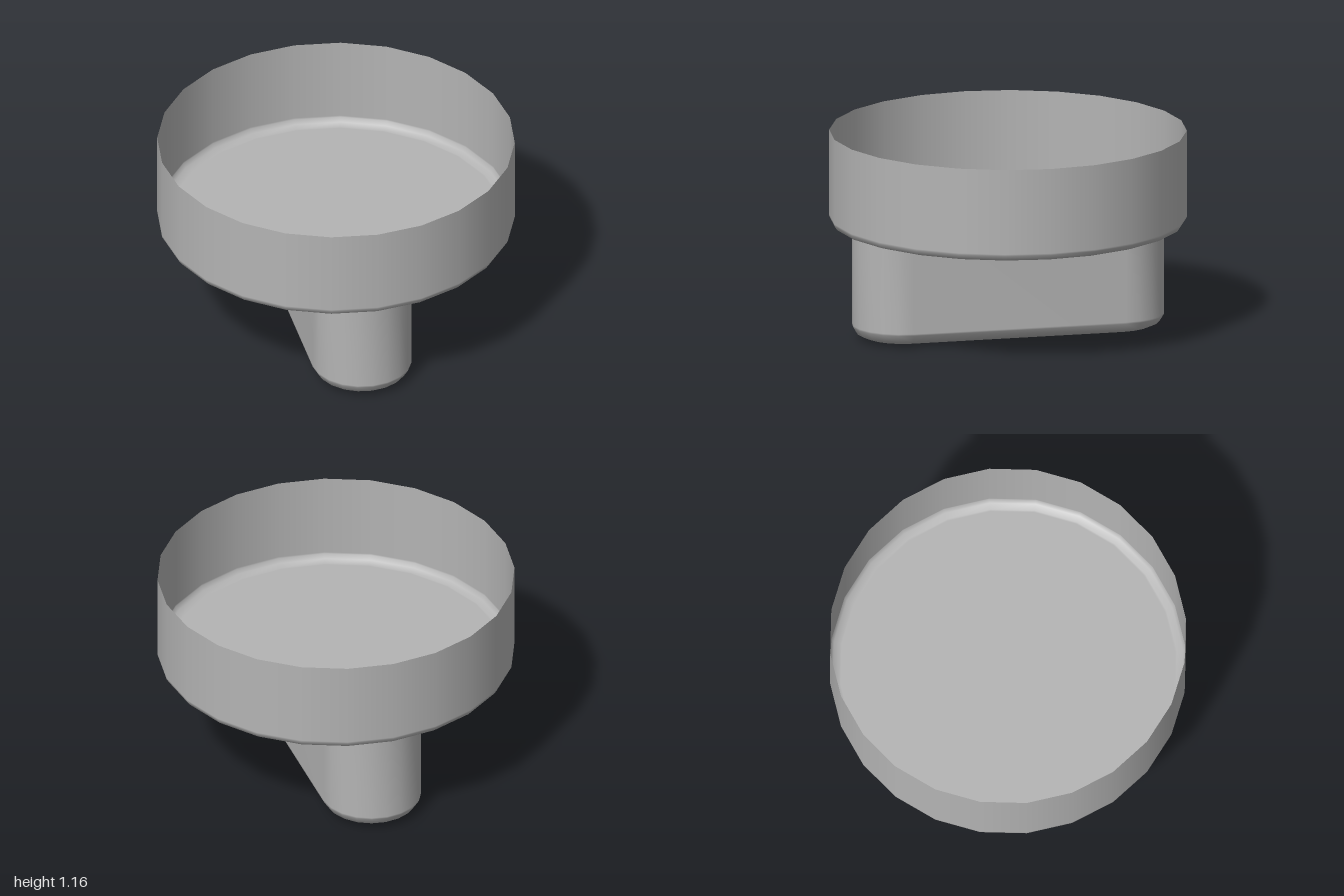
import * as THREE from 'three';

const GRIP_RADIUS = 0.28; // half width of the grip
const GRIP_STRAIGHT = 0.61; // half length of its straight sides
const ARC_STEPS = 10;

// Stacks rounded-bar cross-sections, each given as [radius, y], bottom to top.
function loftBar(rings) {
  const positions = [];
  const index = [];
  const count = 2 * (ARC_STEPS + 1);
  for (const [r, y] of rings) {
    for (const end of [1, -1]) {
      for (let i = 0; i <= ARC_STEPS; i++) {
        const t = Math.PI * (i / ARC_STEPS - 0.5);
        positions.push(end * r * Math.sin(t), y, end * (GRIP_STRAIGHT + r * Math.cos(t)));
      }
    }
  }
  for (let j = 0; j < rings.length - 1; j++) {
    for (let i = 0; i < count; i++) {
      const a = j * count + i;
      const b = j * count + ((i + 1) % count);
      index.push(a, b, a + count, b, b + count, a + count);
    }
  }
  const geometry = new THREE.BufferGeometry();
  geometry.setAttribute('position', new THREE.Float32BufferAttribute(positions, 3));
  geometry.setIndex(index);
  geometry.computeVertexNormals();
  return geometry;
}

export function createModel() {
  const model = new THREE.Group();
  model.name = 'controlKnob';
  const grey = new THREE.MeshStandardMaterial({ color: 0xb4b4b4, side: THREE.DoubleSide });
  grey.name = 'grey';

  const add = (name, geometry) => {
    const mesh = new THREE.Mesh(geometry, grey);
    mesh.name = name;
    model.add(mesh);
    return mesh;
  };

  // Thin open cup with a rounded lower edge
  const cupProfile = [
    [0, 0.63], [0.94, 0.63], [0.95, 0.63], [0.985, 0.641],
    [1, 0.665], [1, 0.675], [1, 1.16],
  ].map(([r, y]) => new THREE.Vector2(r, y));
  add('cup', new THREE.LatheGeometry(cupProfile, 24));

  // Finger grip with rounded ends and a softened bottom edge
  add('grip', loftBar([
    [0, 0.015], [0.2, 0.015], [0.21, 0.015], [0.255, 0.035],
    [GRIP_RADIUS, 0.075], [GRIP_RADIUS, 0.085], [GRIP_RADIUS, 0.63],
  ]));

  // Flat end of the grip, just above the cup floor
  add('gripCap', loftBar([[GRIP_RADIUS, 0.637], [0, 0.637]]));

  // Pointer triangle under the front end of the grip
  const triangle = new THREE.Shape([
    new THREE.Vector2(-0.083, 0.54),
    new THREE.Vector2(0.083, 0.54),
    new THREE.Vector2(0, 0.74),
  ]);
  add('pointerMark', new THREE.ShapeGeometry(triangle).rotateX(Math.PI / 2));

  return model;
}
